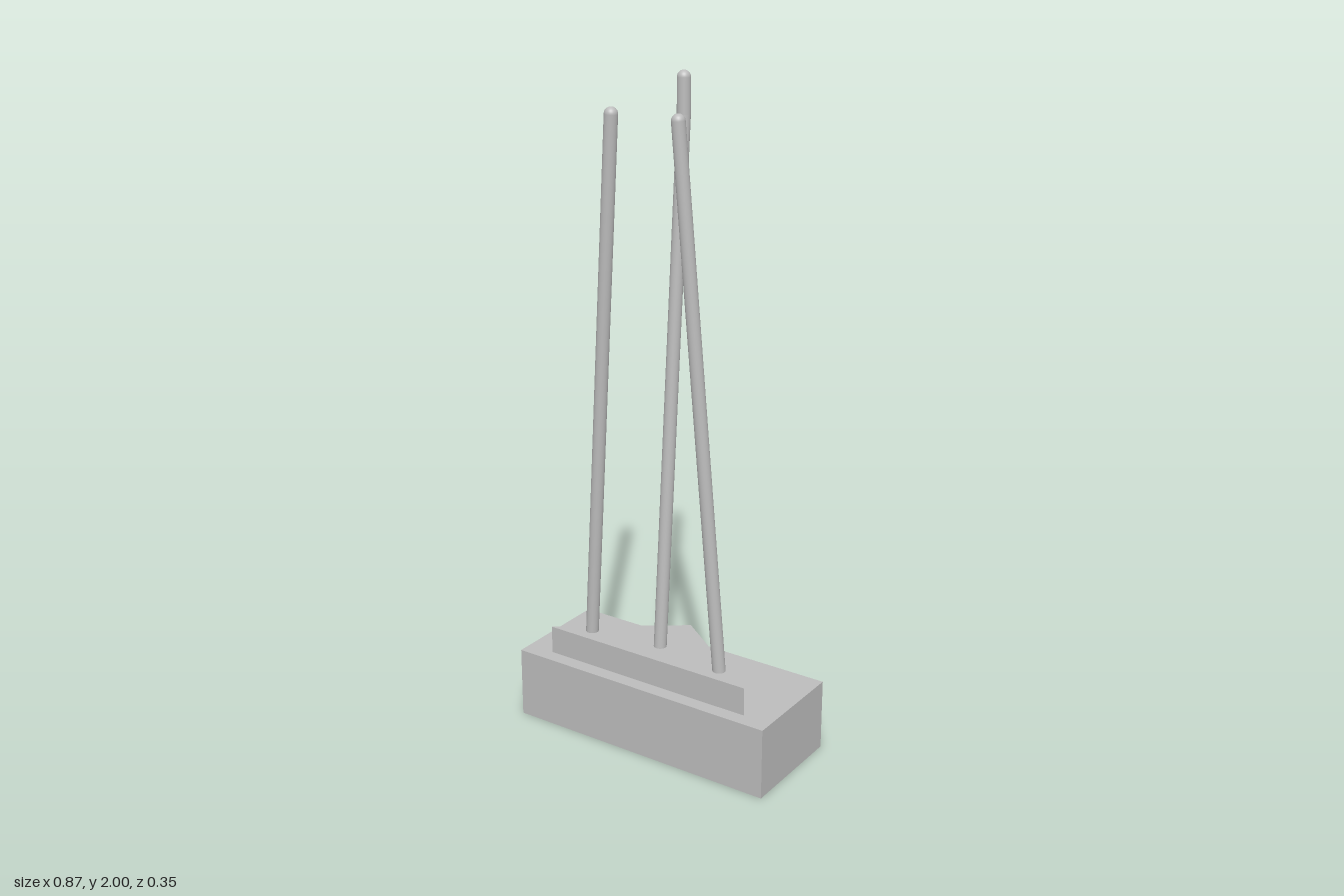
import * as THREE from 'three';

const ROD_RADIUS = 0.0195;

export function createModel() {
  const group = new THREE.Group();
  const grey = new THREE.MeshStandardMaterial({ color: 0xbcbcbc });
  grey.name = 'light grey';

  const add = (parent, geometry, name) => {
    const mesh = new THREE.Mesh(geometry, grey);
    mesh.name = name;
    parent.add(mesh);
    return mesh;
  };

  // Rectangular plinth
  add(group, new THREE.BoxGeometry(0.874, 0.22, 0.348), 'plinth').position.y = 0.11;

  // Triangular slab, pointing to the back
  const triangle = new THREE.Shape([
    new THREE.Vector2(-0.348, -0.13),
    new THREE.Vector2(0.348, -0.13),
    new THREE.Vector2(0, 0.12),
  ]);
  const slab = new THREE.ExtrudeGeometry(triangle, { depth: 0.087, bevelEnabled: false });
  slab.rotateX(-Math.PI / 2);
  add(group, slab, 'triangularSlab').position.y = 0.22;

  // Round rod through the given points, with a ball at every joint and the tip
  const addRod = (name, ...points) => {
    const rod = new THREE.Group();
    rod.name = name;
    for (let i = 1; i < points.length; i++) {
      const a = new THREE.Vector3(...points[i - 1]);
      const b = new THREE.Vector3(...points[i]);
      const axis = b.clone().sub(a);
      const shaft = add(rod, new THREE.CylinderGeometry(ROD_RADIUS, ROD_RADIUS, axis.length(), 32, 1, true), name + 'Shaft');
      shaft.position.copy(a).add(b).multiplyScalar(0.5);
      shaft.quaternion.setFromUnitVectors(new THREE.Vector3(0, 1, 0), axis.normalize());
      add(rod, new THREE.SphereGeometry(ROD_RADIUS, 32, 16), name + 'RoundEnd').position.copy(b);
    }
    group.add(rod);
  };

  // Two side rods lean inward; the rear rod leans back, then turns upright
  for (const [name, s] of [['leftRod', 1], ['rightRod', -1]]) {
    addRod(name, [s * 0.231, 0.295, 0.079], [s * 0.109, 1.895, 0.117]);
  }
  addRod('rearRod', [0, 0.295, 0.048], [0, 1.88, -0.072], [0, 1.9805, -0.072]);

  return group;
}
